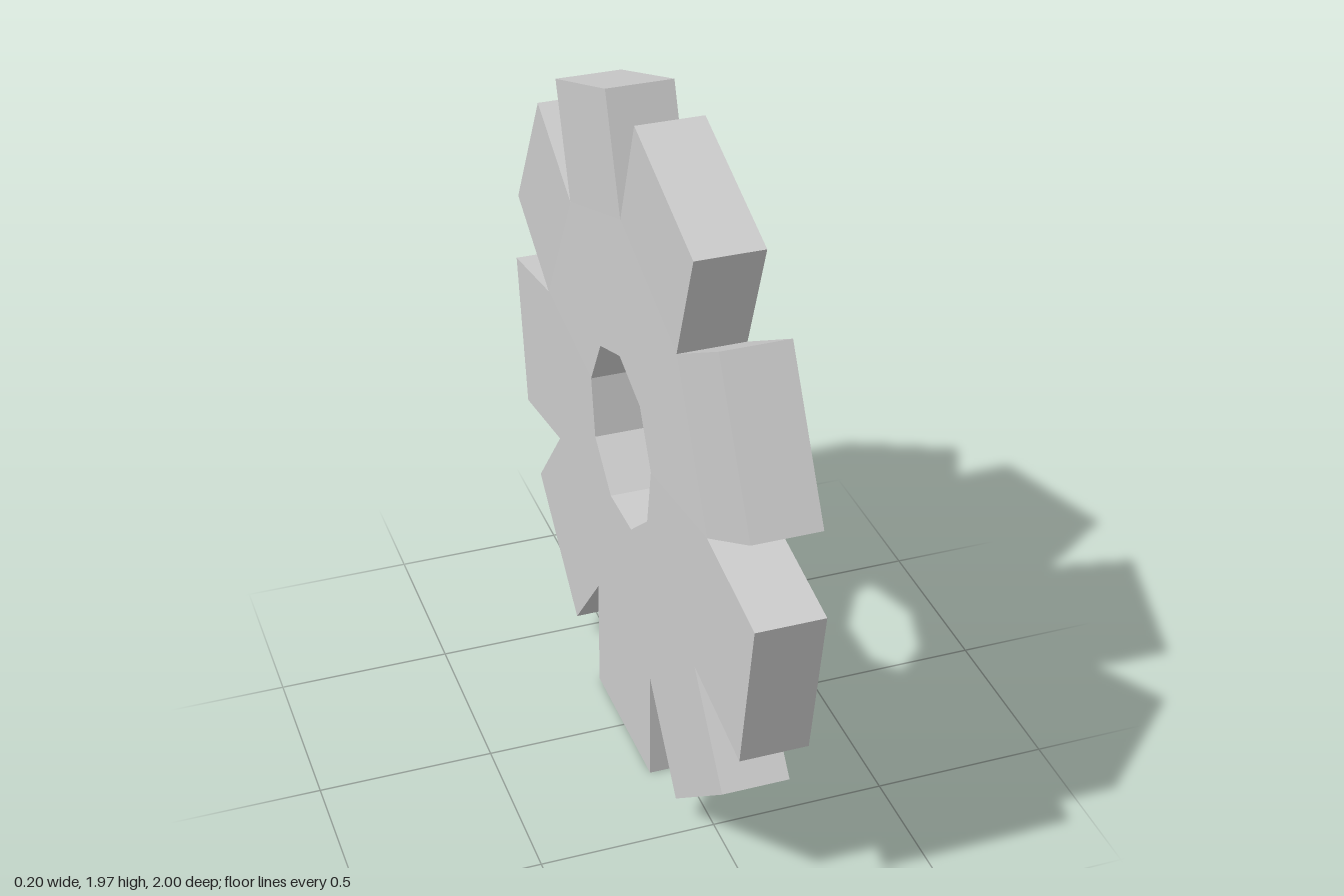
import * as THREE from 'three';

const TEETH = 9;
const STEP = (2 * Math.PI) / TEETH;
const HALF_RIM = 0.094;   // half thickness at the teeth
const HALF_HUB = 0.099;   // slightly thicker around the bore

// Point in the wheel plane: angle runs from straight up towards +z
const polar = (radius, angle, centreY, half) => ({
  y: centreY + radius * Math.cos(angle),
  z: radius * Math.sin(angle),
  half,
});

function wheelGeometry() {
  const positions = [];
  const at = (p, side) => [side * p.half, p.y, p.z];
  const quad = (a, b, c, d) => positions.push(...a, ...b, ...c, ...a, ...c, ...d);
  // The same patch on both flat sides
  const faces = (a, b, c, d) => {
    quad(at(a, 1), at(b, 1), at(c, 1), at(d, 1));
    quad(at(d, -1), at(c, -1), at(b, -1), at(a, -1));
  };
  // Wall across the thickness, facing outwards along a counter-clockwise outline
  const wall = (p, q) => quad(at(p, 1), at(p, -1), at(q, -1), at(q, 1));

  const bore = (i) => polar(0.259, i * STEP, 0.991, HALF_HUB);
  const notch = (i) => polar(0.679, i * STEP, 0.977, HALF_RIM);
  // Tooth corners lie straight out from the notches, so the tooth is a rectangle
  const tipRadius = Math.hypot(0.977, 0.232);
  const tipAngle = Math.atan2(0.232, 0.977);
  const tip = (i, side) => polar(tipRadius, (i + 0.5) * STEP + side * tipAngle, 0.977, HALF_RIM);

  for (let i = 0; i < TEETH; i++) {
    const b0 = bore(i), b1 = bore(i + 1);
    const n0 = notch(i), n1 = notch(i + 1);
    const t0 = tip(i, -1), t1 = tip(i, 1);
    faces(b0, n0, n1, b1);   // hub
    faces(n0, t0, t1, n1);   // tooth
    wall(n0, t0);
    wall(t0, t1);
    wall(t1, n1);
    wall(b1, b0);            // bore
  }

  const geometry = new THREE.BufferGeometry();
  geometry.setAttribute('position', new THREE.Float32BufferAttribute(positions, 3));
  geometry.computeVertexNormals();
  return geometry;
}

export function createModel() {
  const group = new THREE.Group();
  group.name = 'gear';
  const material = new THREE.MeshStandardMaterial({ color: 0xcccccc, flatShading: true });
  const wheel = new THREE.Mesh(wheelGeometry(), material);
  wheel.name = 'toothedWheel';
  group.add(wheel);
  return group;
}
